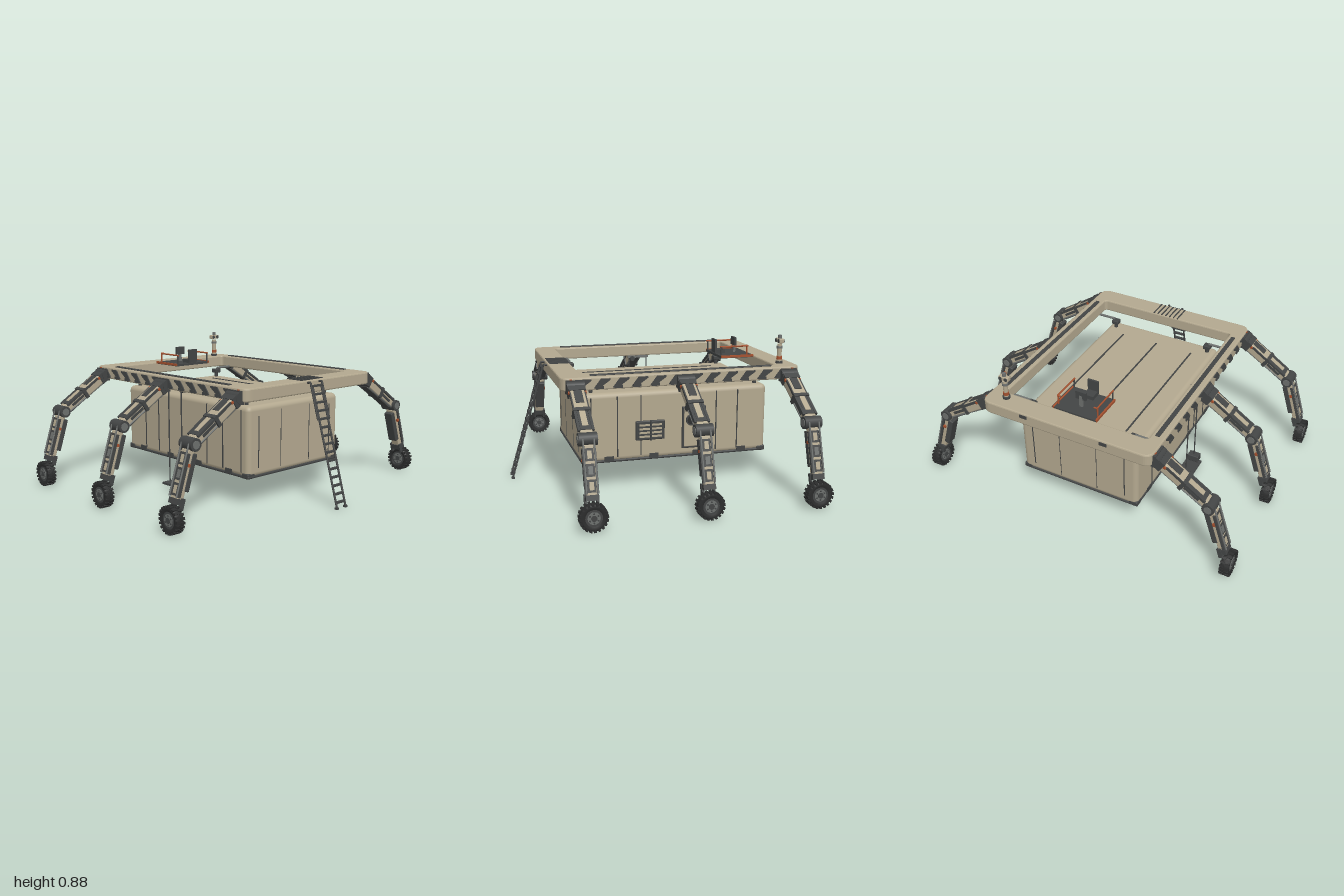
import * as THREE from 'three';
import { RoundedBoxGeometry } from 'three/addons/geometries/RoundedBoxGeometry.js';

const mat = (name, color) => {
  const m = new THREE.MeshStandardMaterial({ color });
  m.name = name;
  return m;
};
const beige = mat('beige paint', 0xb3a88f), dark = mat('dark metal', 0x434545), tyre = mat('tyre rubber', 0x2c2d2d);
const grey = mat('grey metal', 0x6d706e), orange = mat('orange paint', 0xa5512f);

function add(parent, name, geo, m, x = 0, y = 0, z = 0) {
  const mesh = new THREE.Mesh(geo, m);
  mesh.name = name;
  mesh.position.set(x, y, z);
  parent.add(mesh);
  return mesh;
}
const box = (p, name, m, w, h, d, x, y, z) => add(p, name, new THREE.BoxGeometry(w, h, d), m, x, y, z);
const round = (p, name, m, w, h, d, r, x, y, z) => add(p, name, new RoundedBoxGeometry(w, h, d, 3, r), m, x, y, z);
function cyl(p, name, m, r, len, x, y, z, axis = 'y', n = 20) {
  const g = new THREE.CylinderGeometry(r, r, len, n);
  if (axis === 'x') g.rotateZ(Math.PI / 2);
  if (axis === 'z') g.rotateX(Math.PI / 2);
  return add(p, name, g, m, x, y, z);
}
// Straight rod between two points
function rod(p, name, m, r, a, b) {
  const A = new THREE.Vector3(...a), B = new THREE.Vector3(...b);
  const mesh = cyl(p, name, m, r, A.distanceTo(B), 0, 0, 0, 'y', 8);
  mesh.position.copy(A).add(B).multiplyScalar(0.5);
  mesh.quaternion.setFromUnitVectors(new THREE.Vector3(0, 1, 0), B.sub(A).normalize());
}
function group(parent, name) {
  const g = new THREE.Group();
  g.name = name;
  parent.add(g);
  return g;
}
function roundRect(s, w, h, r) {
  const x = w / 2, y = h / 2;
  s.moveTo(-x + r, -y).lineTo(x - r, -y).quadraticCurveTo(x, -y, x, -y + r);
  s.lineTo(x, y - r).quadraticCurveTo(x, y, x - r, y).lineTo(-x + r, y).quadraticCurveTo(-x, y, -x, y - r);
  s.lineTo(-x, -y + r).quadraticCurveTo(-x, -y, -x + r, -y);
  return s;
}

function buildFrame(root) {
  const f = group(root, 'frame');
  const s = roundRect(new THREE.Shape(), 1.046, 1.404, 0.05);
  const hole = roundRect(new THREE.Path(), 0.916, 1.176, 0.03);
  s.holes.push(hole);
  const g = new THREE.ExtrudeGeometry(s, { depth: 0.058, bevelThickness: 0.008, bevelSize: 0.008, bevelSegments: 2, curveSegments: 8 });
  g.rotateX(-Math.PI / 2);
  add(f, 'frameRing', g, beige, 0, 0.643, -0.12);
  const bay = new THREE.Shape([[-0.048, -0.026], [-0.018, -0.026], [0.046, 0.018], [0.046, 0.026], [-0.008, 0.026]].map(p => new THREE.Vector2(...p)));
  const bayGeo = new THREE.ExtrudeGeometry(bay, { depth: 0.006, bevelEnabled: false });
  for (const side of [-1, 1]) {
    round(f, 'topTread', dark, 0.026, 0.008, 1.08, 0.003, side * 0.485, 0.711, -0.12);
    // Diagonal recess panels and small brackets along the rail
    for (let i = 0; i < 12; i++) {
      const z = -0.71 + i * 0.107;
      add(f, 'sideBay', bayGeo, dark, side * 0.531 - (side < 0 ? 0.006 : 0), 0.672, z).rotation.y = Math.PI / 2;
      box(f, 'sideBracket', dark, 0.01, 0.016, 0.045, side * 0.534, 0.65, z + 0.015);
    }
    for (const z of [0.586, -0.826])
      for (const x of [0.18, 0.38]) box(f, 'endSlot', dark, 0.1, 0.008, 0.006, side * x, 0.656, z);
    box(f, 'rearLug', dark, 0.045, 0.02, 0.01, side * 0.25, 0.69, -0.829);
    for (const z of [0.535, -0.775]) box(f, 'cornerMarker', orange, 0.012, 0.025, 0.014, side * 0.53, 0.69, z);
  }
  for (let i = 0; i < 7; i++) box(f, 'stepGrip', dark, 0.007, 0.006, 0.12, -0.08 + i * 0.028, 0.711, 0.521);
}

function buildCabin(root) {
  const c = group(root, 'cabin');
  round(c, 'cabinBody', beige, 0.76, 0.41, 1.14, 0.03, 0, 0.373, -0.117);
  round(c, 'cabinBase', dark, 0.762, 0.016, 1.142, 0.007, 0, 0.172, -0.117);
  box(c, 'underside', beige, 0.73, 0.004, 1.11, 0, 0.163, -0.117);
  // Seams and corner shoes
  for (const x of [-0.245, 0, 0.24]) box(c, 'roofSeam', dark, 0.009, 0.006, x ? 0.88 : 0.82, x, 0.579, x ? -0.12 : -0.09);
  for (const s of [-1, 1]) {
    for (const z of [0.395, 0.24, 0.1, -0.365, -0.5])
      box(c, 'sideSeam', dark, 0.005, 0.36, 0.006, s * 0.381, 0.375, z);
    for (const z of [0.29, 0.02, -0.25, -0.53]) box(c, 'baseLug', dark, 0.008, 0.028, 0.055, s * 0.381, 0.187, z);
    for (const z of [0.453, -0.687]) {
      box(c, 'endSeam', dark, 0.005, 0.3, 0.006, s * 0.3, 0.37, z);
      box(c, 'endSeam', dark, 0.003, 0.34, 0.004, s * 0.12, 0.37, z);
    }
    for (const z of [0.425, -0.66]) round(c, 'cornerShoe', dark, 0.055, 0.032, 0.055, 0.008, s * 0.355, 0.179, z);
    // Hangers joining cabin and frame
    for (const z of [0.385, -0.627]) {
      round(c, 'hangerBlock', dark, 0.046, 0.026, 0.046, 0.005, s * 0.33, 0.618, z);
      cyl(c, 'hangerPost', dark, 0.012, 0.05, s * 0.33, 0.593, z);
      cyl(c, 'hangerArm', grey, 0.008, 0.13, s * 0.405, 0.638, z, 'x', 10);
    }
  }
  // Louvred window on the left wall
  round(c, 'louvreFrame', dark, 0.02, 0.115, 0.175, 0.006, 0.387, 0.345, 0.045);
  for (let i = 0; i < 4; i++) {
    box(c, 'louvre', beige, 0.008, 0.011, 0.135, 0.397, 0.31 + i * 0.023, 0.045);
    box(c, 'louvreLip', dark, 0.014, 0.006, 0.145, 0.4, 0.301 + i * 0.023, 0.045);
  }
  box(c, 'louvrePost', dark, 0.022, 0.115, 0.01, 0.396, 0.345, 0.045);
  // Door with porthole
  round(c, 'doorFrame', dark, 0.014, 0.255, 0.148, 0.005, 0.384, 0.345, -0.225);
  round(c, 'doorPanel', beige, 0.016, 0.234, 0.126, 0.005, 0.387, 0.345, -0.225);
  cyl(c, 'portholeRim', dark, 0.034, 0.016, 0.396, 0.392, -0.205, 'x', 24);
  cyl(c, 'portholeGlass', tyre, 0.025, 0.006, 0.403, 0.392, -0.205, 'x', 24);
  rod(c, 'doorHandle', dark, 0.005, [0.404, 0.28, -0.265], [0.404, 0.35, -0.265]);
  for (const y of [0.27, 0.41]) box(c, 'doorHinge', dark, 0.016, 0.022, 0.012, 0.396, y, -0.287);
}

// Group whose local x runs from a to b in the leg plane
function segment(parent, name, a, b) {
  const g = group(parent, name);
  g.position.set(a[0], a[1], 0);
  g.rotation.z = Math.atan2(b[1] - a[1], b[0] - a[0]);
  return g;
}
function buildLeg(root, side, z) {
  const leg = group(root, 'leg');
  leg.position.z = z;
  if (side < 0) leg.rotation.y = Math.PI;
  const hip = [0.535, 0.66], knee = [0.847, 0.455], hub = [0.965, 0.085];
  box(leg, 'hipMount', dark, 0.03, 0.075, 0.1, 0.53, 0.66, 0);
  cyl(leg, 'hipJoint', dark, 0.034, 0.1, hip[0], hip[1], 0, 'z');
  // Upper leg: wide sleeve and slimmer arm
  const u = segment(leg, 'upperLeg', hip, knee);
  round(u, 'upperSleeve', beige, 0.17, 0.06, 0.078, 0.007, 0.105, 0, 0);
  round(u, 'upperArm', beige, 0.23, 0.046, 0.066, 0.006, 0.24, 0, 0);
  box(u, 'upperUnderside', dark, 0.29, 0.02, 0.055, 0.19, -0.026, 0);
  box(u, 'upperTopFrame', dark, 0.17, 0.008, 0.058, 0.245, 0.023, 0);
  box(u, 'upperTopPanel', beige, 0.12, 0.008, 0.032, 0.245, 0.025, 0);
  box(u, 'sleeveTopPanel', dark, 0.09, 0.006, 0.045, 0.1, 0.03, 0);
  box(u, 'sleeveCollar', dark, 0.022, 0.068, 0.092, 0.19, 0, 0);
  box(u, 'hipCollar', dark, 0.035, 0.066, 0.094, 0.035, 0, 0);
  // Lower leg: strut, dark guards and panels
  const l = segment(leg, 'lowerLeg', knee, hub);
  round(l, 'lowerStrut', beige, 0.28, 0.044, 0.056, 0.006, 0.17, 0.002, 0);
  round(l, 'lowerInnerGuard', dark, 0.2, 0.034, 0.06, 0.006, 0.145, -0.026, 0);
  box(l, 'ankleCollar', dark, 0.03, 0.052, 0.07, 0.3, 0, 0);
  for (let i = 0; i < 3; i++) {
    box(l, 'lowerOuterFrame', dark, 0.066, 0.008, 0.046, 0.08 + i * 0.08, 0.024, 0);
    box(l, 'lowerOuterPanel', i === 1 ? grey : beige, 0.042, 0.008, 0.024, 0.08 + i * 0.08, 0.026, 0);
  }
  for (const s of [-1, 1]) {
    box(u, 'upperSideRail', dark, 0.27, 0.014, 0.014, 0.2, 0.021, s * 0.037);
    box(u, 'upperSideGroove', dark, 0.1, 0.016, 0.006, 0.255, -0.004, s * 0.034);
    box(u, 'upperMarker', orange, 0.014, 0.014, 0.008, 0.06, 0.018, s * 0.046);
    box(l, 'lowerSideRail', dark, 0.23, 0.014, 0.01, 0.165, 0.018, s * 0.032);
    box(l, 'lowerMarker', orange, 0.016, 0.016, 0.012, 0.11, 0.004, s * 0.033);
    box(l, 'wheelFork', dark, 0.06, 0.024, 0.012, 0.31, -0.012, s * 0.032);
    // Hydraulic lines
    rod(u, 'upperPiston', grey, 0.006, [0.05, -0.033, s * 0.03], [0.35, -0.024, s * 0.03]);
    rod(l, 'lowerPiston', grey, 0.005, [0.0, 0.032, s * 0.029], [0.28, 0.032, s * 0.029]);
  }
  // Knee
  cyl(leg, 'kneeJoint', dark, 0.035, 0.1, knee[0], knee[1], 0, 'z');
  cyl(leg, 'kneeCap', grey, 0.022, 0.106, knee[0], knee[1], 0, 'z');
  // Wheel
  const w = group(leg, 'wheel');
  w.position.set(0.972, 0.078, 0);
  const profile = [[0.044, -0.02], [0.06, -0.026], [0.07, -0.022], [0.073, -0.01], [0.073, 0.01], [0.07, 0.022], [0.06, 0.026], [0.044, 0.02], [0.044, -0.02]];
  const tg = new THREE.LatheGeometry(profile.map(p => new THREE.Vector2(...p)), 32);
  tg.rotateZ(Math.PI / 2);
  add(w, 'tyre', tg, tyre);
  for (let i = 0; i < 20; i++) {
    const a = i * Math.PI / 10;
    for (const s of [-1, 1]) {
      const b = a + s * 0.07;
      box(w, 'treadBlock', tyre, 0.025, 0.012, 0.013, s * 0.0145, Math.cos(b) * 0.071, Math.sin(b) * 0.071).rotation.x = b;
    }
  }
  cyl(w, 'wheelRim', dark, 0.046, 0.042, 0, 0, 0, 'x', 28);
  cyl(w, 'wheelDisc', grey, 0.034, 0.046, 0, 0, 0, 'x', 24);
  cyl(w, 'wheelHub', dark, 0.016, 0.054, 0, 0, 0, 'x', 16);
  for (let i = 0; i < 6; i++)
    cyl(w, 'wheelBolt', dark, 0.005, 0.05, 0, Math.cos(i * Math.PI / 3) * 0.025, Math.sin(i * Math.PI / 3) * 0.025, 'x', 8);
}

function buildLadder(root) {
  const l = group(root, 'ladder');
  const at = (x, t) => [x, 0.7 - 0.695 * t, 0.612 + 0.205 * t];
  for (const s of [-1, 1]) {
    rod(l, 'upperRail', dark, 0.006, at(s * 0.048, 0), at(s * 0.048, 0.3));
    rod(l, 'lowerRail', dark, 0.006, at(s * 0.037, 0.02), at(s * 0.037, 1));
    const foot = at(s * 0.037, 0.99);
    box(l, 'ladderFoot', dark, 0.016, 0.012, 0.018, foot[0], 0.006, foot[2]);
    rod(l, 'ladderHook', dark, 0.006, [s * 0.048, 0.7, 0.612], [s * 0.048, 0.695, 0.575]);
  }
  for (let i = 0; i < 15; i++) {
    const t = 0.03 + i * 0.066, w = t < 0.3 ? 0.048 : 0.037;
    const [, y, z] = at(0, t);
    box(l, 'rung', dark, w * 2, 0.011, 0.016, 0, y, z);
  }
}

function buildDeck(root) {
  const d = group(root, 'controlDeck');
  box(d, 'deckPlate', dark, 0.272, 0.014, 0.215, 0, 0.706, -0.592);
  for (const s of [-1, 1]) {
    box(d, 'deckEdge', orange, 0.01, 0.014, 0.215, s * 0.135, 0.709, -0.592);
    // Hand rails
    for (const z of [-0.49, -0.66]) rod(d, 'railPost', z < -0.6 ? orange : dark, 0.005, [s * 0.125, 0.71, z], [s * 0.125, 0.77, z]);
    rod(d, 'handRail', orange, 0.005, [s * 0.125, 0.77, -0.48], [s * 0.125, 0.77, -0.665]);
    rod(d, 'railEnd', orange, 0.005, [s * 0.125, 0.77, -0.665], [s * 0.105, 0.77, -0.665]);
  }
  // Seat and console
  box(d, 'seatBase', dark, 0.064, 0.025, 0.06, 0, 0.724, -0.52);
  box(d, 'seatBack', dark, 0.066, 0.085, 0.012, 0, 0.76, -0.488);
  box(d, 'consolePost', grey, 0.02, 0.08, 0.014, 0, 0.745, -0.622);
  box(d, 'consoleScreen', dark, 0.066, 0.05, 0.014, 0, 0.785, -0.62);
}

function buildMast(root) {
  const m = group(root, 'sensorMast');
  const x = 0.415, z = -0.745;
  cyl(m, 'mastBase', dark, 0.022, 0.014, x, 0.715, z);
  cyl(m, 'mastLower', beige, 0.014, 0.11, x, 0.77, z);
  cyl(m, 'mastBand', orange, 0.017, 0.02, x, 0.742, z);
  cyl(m, 'mastCollar', grey, 0.018, 0.014, x, 0.805, z);
  round(m, 'mastHead', beige, 0.064, 0.026, 0.03, 0.005, x, 0.845, z);
  for (const s of [-1, 1]) cyl(m, 'mastLens', dark, 0.011, 0.036, x + s * 0.018, 0.845, z, 'z', 14);
  cyl(m, 'mastCap', grey, 0.011, 0.02, x, 0.868, z);
}

function buildHoist(root) {
  const h = group(root, 'hoist');
  const x = -0.455;
  for (const z of [-0.045, -0.165]) rod(h, 'hoistCable', dark, 0.004, [x, 0.64, z], [x, 0.05, z]);
  box(h, 'hoistPlate', dark, 0.095, 0.012, 0.15, x, 0.042, -0.105);
  round(h, 'hoistBlock', dark, 0.07, 0.044, 0.05, 0.005, x, 0.078, -0.045);
  box(h, 'hoistBeam', grey, 0.014, 0.014, 0.14, -0.432, 0.632, -0.1);
  cyl(h, 'hoistDrum', dark, 0.016, 0.03, -0.43, 0.622, -0.06, 'x');
}

export function createModel() {
  const root = new THREE.Group();
  root.name = 'walkerCarrier';
  buildFrame(root);
  buildCabin(root);
  for (const z of [0.512, -0.118, -0.75]) for (const side of [-1, 1]) buildLeg(root, side, z);
  buildLadder(root);
  buildDeck(root);
  buildMast(root);
  buildHoist(root);
  return root;
}
